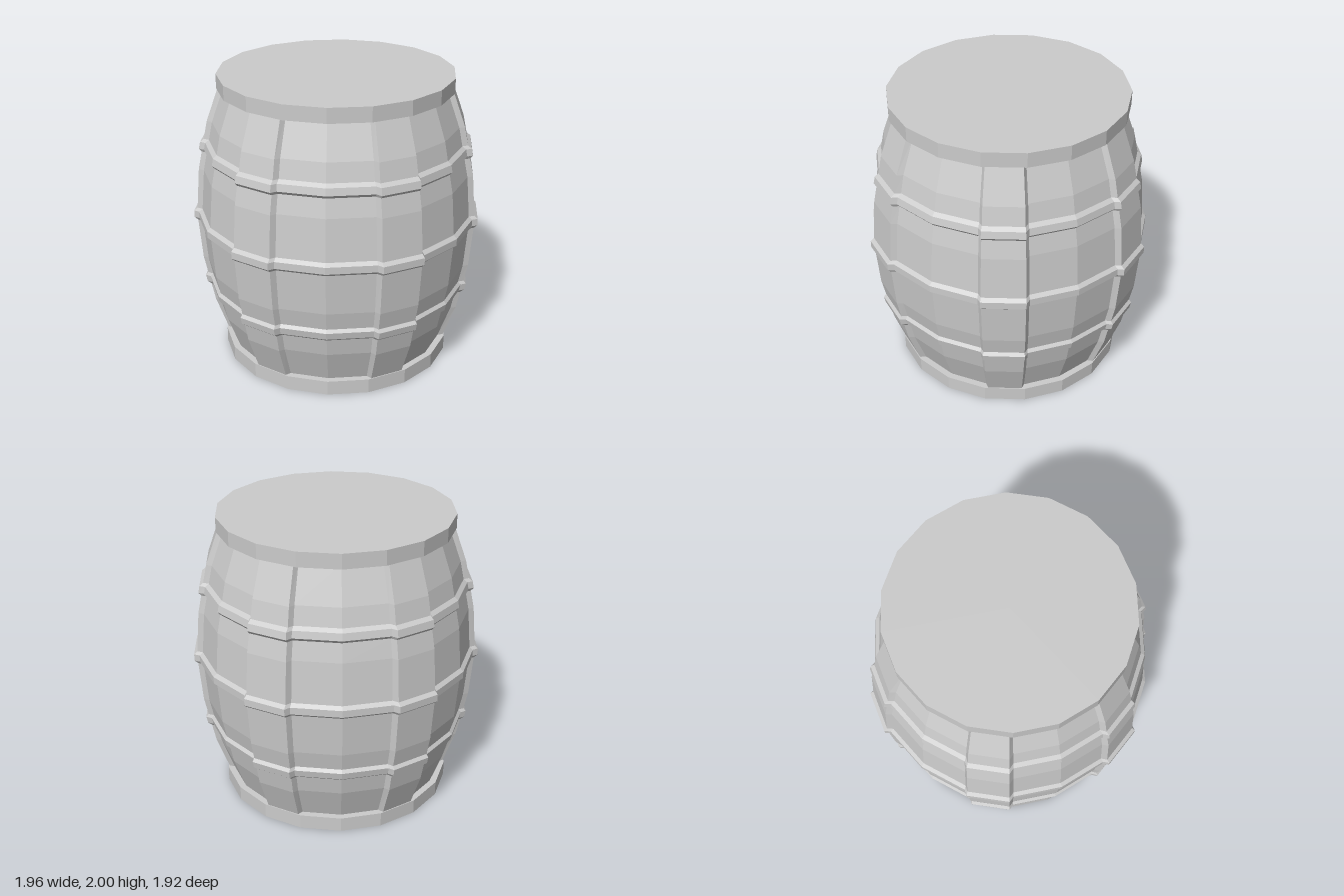
import * as THREE from 'three';

const SIDES = 18;
const RAD = Math.PI / 180;

// Bulging profile of the wood: [y, radius]
const PROFILE = [[0.09, 0.742], [0.33, 0.828], [0.67, 0.898], [1, 0.925], [1.33, 0.898], [1.67, 0.828], [1.91, 0.742]];
const HOOPS = [0.5, 1, 1.5];
const HOOP_DEPTH = 0.022;
const STAVE_DEPTH = 0.035;

function profileRadius(y) {
  let i = 0;
  while (i < PROFILE.length - 2 && y > PROFILE[i + 1][0]) i++;
  const [y0, r0] = PROFILE[i], [y1, r1] = PROFILE[i + 1];
  return r0 + (r1 - r0) * (y - y0) / (y1 - y0);
}

// Rows from bottom to top; each hoop adds four rows with bevelled edges
function barrelRows() {
  const rows = PROFILE.filter(([y]) => !HOOPS.includes(y)).map(([y, r]) => ({ y, r }));
  for (const h of HOOPS) {
    for (const [dy, dr] of [[-0.045, 0], [-0.024, HOOP_DEPTH], [0.024, HOOP_DEPTH], [0.045, 0]]) {
      rows.push({ y: h + dy, r: profileRadius(h + dy) + dr });
    }
  }
  return rows.sort((a, b) => a.y - b.y);
}

// Columns around the barrel; every third panel is a raised, bevelled stave
function barrelColumns() {
  const cols = [];
  for (let start = -20; start < 340; start += 60) {
    for (const [da, raise] of [[0, 0], [1.5, STAVE_DEPTH], [18.5, STAVE_DEPTH], [20, 0], [40, 0]]) {
      cols.push({ angle: (start + da) * RAD, raise });
    }
  }
  return cols;
}

function barrelGeometry() {
  const rows = barrelRows(), cols = barrelColumns();
  const positions = [], index = [], n = cols.length;
  rows.forEach(({ y, r }, i) => {
    cols.forEach(({ angle, raise }, j) => {
      positions.push((r + raise) * Math.cos(angle), y, (r + raise) * Math.sin(angle));
      if (i === rows.length - 1) return;
      const a = i * n + j, b = i * n + (j + 1) % n;
      index.push(a, a + n, b, b, a + n, b + n);
    });
  });
  const geo = new THREE.BufferGeometry();
  geo.setAttribute('position', new THREE.Float32BufferAttribute(positions, 3));
  geo.setIndex(index);
  const flat = geo.toNonIndexed();
  flat.computeVertexNormals();
  return flat;
}

export function createModel() {
  const group = new THREE.Group();
  group.name = 'barrel';
  const material = new THREE.MeshStandardMaterial({ color: 0xcccccc, flatShading: true });

  // Wooden wall with raised staves and hoops
  const body = new THREE.Mesh(barrelGeometry(), material);
  body.name = 'stavesAndHoops';
  group.add(body);

  // Closed end rims
  for (const [name, y] of [['bottomRim', 0.05], ['topRim', 1.95]]) {
    const rim = new THREE.Mesh(new THREE.CylinderGeometry(0.79, 0.79, 0.1, SIDES), material);
    rim.name = name;
    rim.position.y = y;
    rim.rotation.y = Math.PI / SIDES;
    group.add(rim);
  }
  return group;
}
